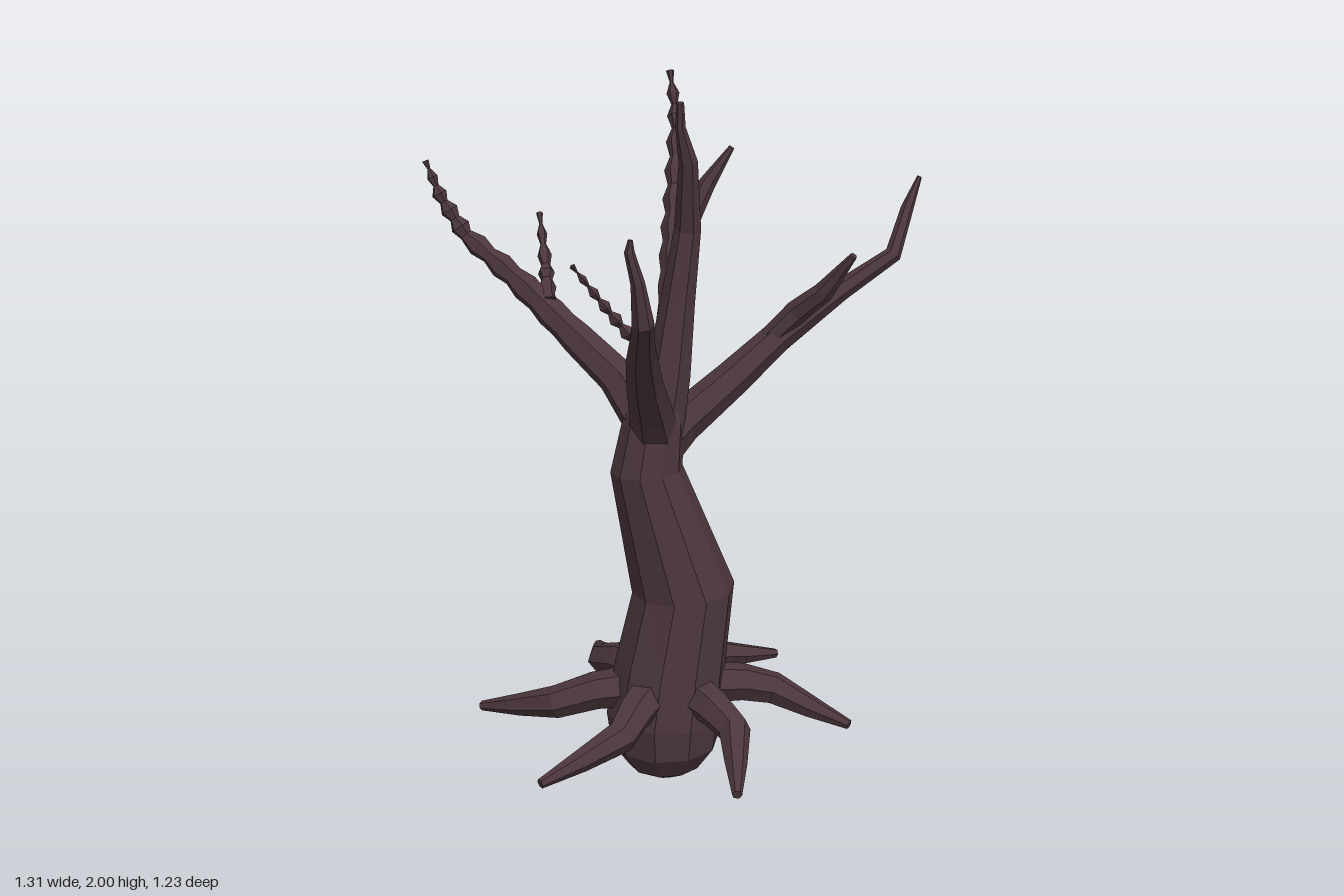
import * as THREE from 'three';

const bark = new THREE.MeshStandardMaterial({ color: 0x4b363c, flatShading: true });
bark.name = 'darkBark';

// Lofts rings of the given radius along a path of [x, y, z, radius] points, closed at both ends.
function loft(name, path, sides) {
  const P = path.map(p => new THREE.Vector3(p[0], p[1], p[2]));
  const n = P.length, pos = [], index = [];
  let normal = new THREE.Vector3(0, 0, 1);
  for (let i = 0; i < n; i++) {
    const before = P[i].clone().sub(P[Math.max(i - 1, 0)]).normalize();
    const after = P[Math.min(i + 1, n - 1)].clone().sub(P[i]).normalize();
    const T = before.add(after).normalize();
    if (i === 0 && Math.abs(T.z) > 0.8) normal.set(1, 0, 0);
    normal = normal.clone().addScaledVector(T, -normal.dot(T)).normalize();
    const B = T.clone().cross(normal);
    for (let j = 0; j < sides; j++) {
      const a = (j / sides) * Math.PI * 2;
      const v = P[i].clone()
        .addScaledVector(normal, path[i][3] * Math.cos(a))
        .addScaledVector(B, path[i][3] * Math.sin(a));
      pos.push(v.x, v.y, v.z);
    }
  }
  pos.push(...P[0].toArray(), ...P[n - 1].toArray());
  for (let j = 0; j < sides; j++) {
    const k = (j + 1) % sides;
    for (let i = 0; i < n - 1; i++) {
      const a = i * sides + j, b = i * sides + k;
      index.push(a, b, a + sides, b, b + sides, a + sides);
    }
    const last = (n - 1) * sides;
    index.push(n * sides, k, j, n * sides + 1, last + j, last + k);
  }
  const g = new THREE.BufferGeometry();
  g.setAttribute('position', new THREE.Float32BufferAttribute(pos, 3));
  g.setIndex(index);
  g.computeVertexNormals();
  const mesh = new THREE.Mesh(g, bark);
  mesh.name = name;
  return mesh;
}

// Resamples a path and pinches every other ring, more strongly towards the tip.
function knobby(path, steps, startPinch, endPinch) {
  const out = [], segs = path.length - 1;
  for (let i = 0; i <= steps; i++) {
    const t = i / steps, u = t * segs, s = Math.min(Math.floor(u), segs - 1), f = u - s;
    const p = path[s].map((v, k) => v + (path[s + 1][k] - v) * f);
    if (i % 2) p[3] *= startPinch + (endPinch - startPinch) * t;
    out.push(p);
  }
  return out;
}

export function createModel() {
  const tree = new THREE.Group();
  tree.name = 'bareTree';

  // Trunk with a rounded bulb at the foot
  tree.add(loft('trunk', [
    [-0.165, 0.005, -0.065, 0.04], [-0.165, 0.04, -0.065, 0.105], [-0.165, 0.11, -0.065, 0.155],
    [-0.165, 0.2, -0.065, 0.168], [-0.145, 0.35, -0.065, 0.16], [-0.105, 0.58, -0.06, 0.147],
    [-0.205, 0.95, -0.085, 0.102], [-0.18, 1.1, -0.085, 0.085], [-0.16, 1.18, -0.085, 0.05],
  ], 10));

  // Main boughs
  tree.add(loft('topBough', [
    [-0.18, 1.0, -0.085, 0.075], [-0.135, 1.22, -0.085, 0.062], [-0.105, 1.42, -0.085, 0.048],
    [-0.078, 1.63, -0.075, 0.037], [-0.1, 1.83, -0.025, 0.026], [-0.13, 1.93, -0.01, 0.014],
    [-0.135, 2.0, 0, 0.01],
  ], 6));
  tree.add(loft('leftBough', [
    [-0.19, 0.98, -0.09, 0.07], [-0.09, 1.06, -0.1, 0.06], [0.06, 1.17, -0.085, 0.052],
    [0.2, 1.28, -0.07, 0.044], [0.38, 1.4, -0.035, 0.03], [0.53, 1.495, 0, 0.024],
    [0.6, 1.61, -0.045, 0.018], [0.65, 1.69, -0.065, 0.007],
  ], 6));
  tree.add(loft('frontBough', [
    [-0.18, 1.04, -0.08, 0.07], [-0.23, 1.15, 0, 0.06], [-0.3, 1.27, 0.11, 0.05],
    [-0.38, 1.4, 0.26, 0.042], [-0.46, 1.51, 0.43, 0.032], [-0.53, 1.61, 0.585, 0.028],
    [-0.55, 1.72, 0.6, 0.018], [-0.568, 1.8, 0.592, 0.013], [-0.565, 1.83, 0.592, 0.006],
  ], 6));
  tree.add(loft('backLeftBough', [
    [-0.17, 1.03, -0.08, 0.065], [-0.12, 1.18, -0.12, 0.058],
    ...knobby([
      [-0.06, 1.34, -0.2, 0.048], [0, 1.5, -0.32, 0.042], [0.06, 1.65, -0.43, 0.034],
      [0.115, 1.81, -0.53, 0.027], [0.132, 1.94, -0.605, 0.012]], 18, 0.95, 0.3),
  ], 6));
  tree.add(loft('backRightBough', [
    [-0.18, 1.04, -0.08, 0.065], [-0.25, 1.2, -0.18, 0.055],
    ...knobby([
      [-0.33, 1.3, -0.27, 0.048], [-0.45, 1.45, -0.38, 0.04], [-0.56, 1.57, -0.49, 0.03],
      [-0.61, 1.67, -0.54, 0.024], [-0.637, 1.77, -0.58, 0.01]], 18, 0.95, 0.3),
  ], 6));

  // Side twigs
  tree.add(loft('leftTwig', [
    [0.17, 1.27, -0.08, 0.03], [0.24, 1.36, -0.03, 0.034], [0.285, 1.43, 0.04, 0.029],
    [0.33, 1.55, 0.125, 0.01],
  ], 6));
  tree.add(loft('backLeftTwig', [
    [-0.01, 1.46, -0.28, 0.03], [0.05, 1.56, -0.34, 0.033], [0.12, 1.67, -0.345, 0.024],
    [0.19, 1.77, -0.33, 0.008],
  ], 6));
  tree.add(loft('backRightTwig', knobby([
    [-0.39, 1.4, -0.32, 0.028], [-0.36, 1.48, -0.4, 0.024], [-0.33, 1.6, -0.505, 0.01],
  ], 10, 0.8, 0.3), 5));
  tree.add(loft('frontTwig', knobby([
    [-0.36, 1.4, 0.26, 0.022], [-0.47, 1.54, 0.263, 0.018], [-0.575, 1.68, 0.265, 0.008],
  ], 14, 0.5, 0.25), 4));

  // Roots: each spreads from the trunk through a bend [x, z] to a low tip [x, z]
  const roots = [
    [[-0.25, -0.09], [-0.46, -0.17], [-0.608, -0.37]],
    [[-0.25, 0], [-0.39, 0.12], [-0.655, 0.16]],
    [[-0.12, 0.04], [-0.09, 0.23], [-0.205, 0.465]],
    [[-0.04, -0.01], [0.14, 0.035], [0.28, 0.23]],
    [[-0.07, -0.15], [0.07, -0.275], [0.325, -0.3]],
    [[-0.17, -0.19], [-0.215, -0.38], [-0.125, -0.605]],
  ];
  roots.forEach(([a, b, c], i) => {
    const mix = t => [b[0] + (c[0] - b[0]) * t, b[1] + (c[1] - b[1]) * t];
    const m = mix(0.5);
    tree.add(loft('root' + (i + 1), [
      [a[0], 0.29, a[1], 0.06], [(a[0] + b[0]) / 2, 0.28, (a[1] + b[1]) / 2, 0.054],
      [b[0], 0.25, b[1], 0.047], [m[0], 0.215, m[1], 0.032], [c[0], 0.185, c[1], 0.014],
    ], 6));
  });

  return tree;
}
